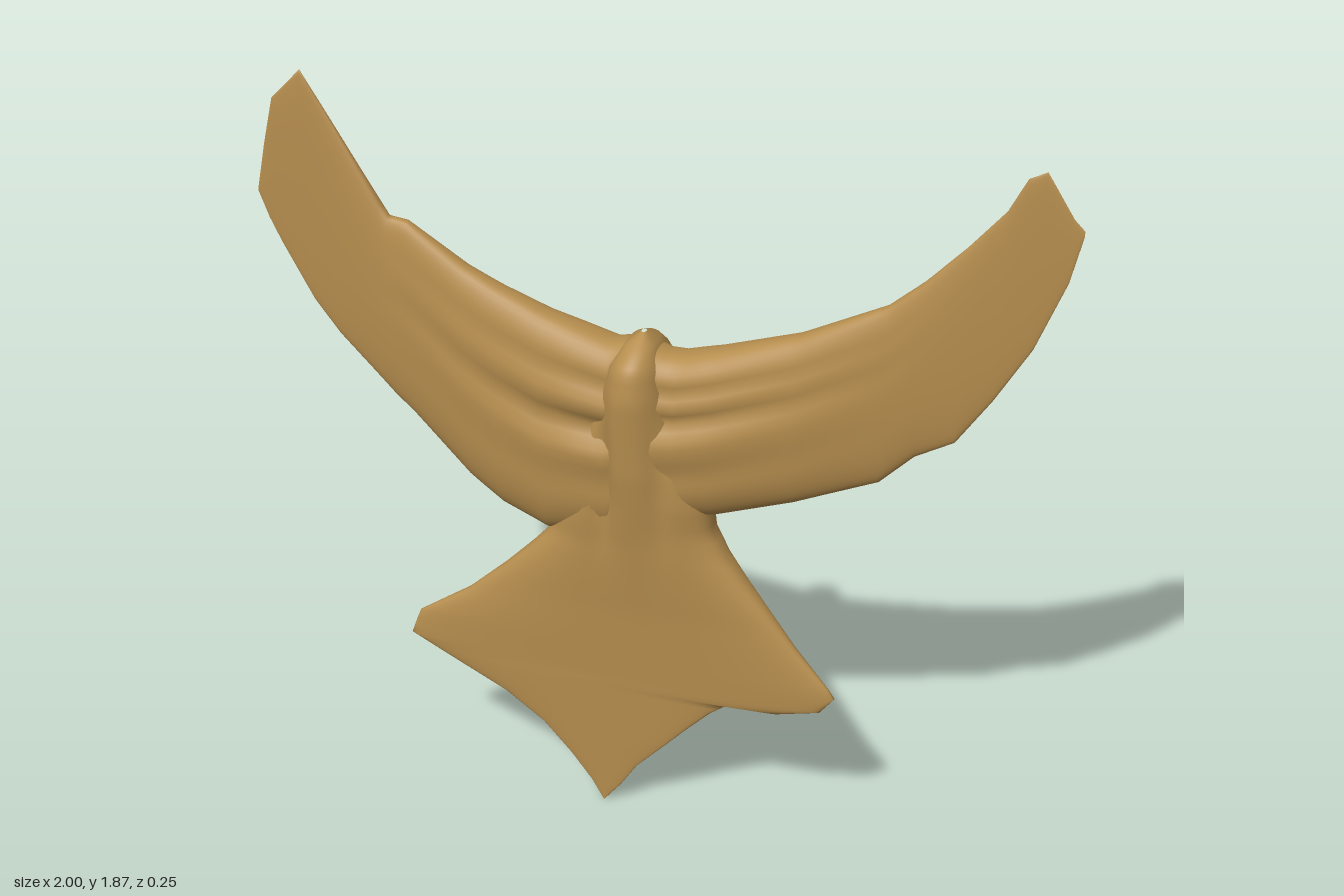
import * as THREE from 'three';

const cloth = new THREE.MeshStandardMaterial({ color: 0xb58d4e });
cloth.name = 'tan cloth';

// linear lookup of every column at station s; row = [station, ...values]
function sample(table, s) {
  let i = 0;
  while (i < table.length - 2 && s > table[i + 1][0]) i++;
  const a = table[i], b = table[i + 1];
  const k = THREE.MathUtils.clamp((s - a[0]) / (b[0] - a[0]), 0, 1);
  return a.slice(1).map((v, n) => v + (b[n + 1] - v) * k);
}

const bump = (v, centre, width) => Math.exp(-(((v - centre) / width) ** 2));

// lens-shaped sections lofted along x or y between two outline edges
function loft(name, axis, outline, depth, power, fold) {
  const stations = [];
  outline.forEach((row, i) => {
    if (i === 0) return stations.push(row[0]);
    const prev = outline[i - 1][0];
    const steps = Math.max(1, Math.ceil((row[0] - prev) / 0.025));
    for (let k = 1; k <= steps; k++) stations.push(prev + ((row[0] - prev) * k) / steps);
  });
  const ring = 64, pos = [], index = [];
  stations.forEach((s, i) => {
    const [lo, hi] = sample(outline, s);
    const [centre, thick] = sample(depth, s);
    for (let j = 0; j < ring; j++) {
      const t = (j / ring) * Math.PI * 2;
      const v = Math.cos(t), side = Math.sin(t);
      const across = (lo + hi) / 2 + ((hi - lo) / 2) * v;
      const [x, y] = axis === 'x' ? [s, across] : [across, s];
      const h = thick * Math.abs(side) ** power * fold(s, v, side > 0, x, y);
      pos.push(x, y, centre + Math.sign(side) * h);
      if (i === stations.length - 1) continue;
      const a = i * ring + j, b = i * ring + ((j + 1) % ring);
      const c = a + ring, d = b + ring;
      if (axis === 'x') index.push(a, b, c, b, d, c);
      else index.push(a, c, b, b, c, d);
    }
  });
  const geo = new THREE.BufferGeometry();
  geo.setAttribute('position', new THREE.Float32BufferAttribute(pos, 3));
  geo.setIndex(index);
  geo.computeVertexNormals();
  const mesh = new THREE.Mesh(geo, cloth);
  mesh.name = name;
  return mesh;
}

export function createModel() {
  const group = new THREE.Group();
  group.name = 'knottedCloth';

  // upswept side pieces: x, lower edge, upper edge
  const wingOutline = [
    [-1, 1.545, 1.555], [-0.975, 1.48, 1.67], [-0.945, 1.42, 1.79], [-0.865, 1.28, 1.87],
    [-0.8, 1.2, 1.77], [-0.65, 1.06, 1.535], [-0.6, 1.02, 1.53], [-0.45, 0.88, 1.44],
    [-0.36, 0.82, 1.4], [-0.24, 0.775, 1.355], [-0.07, 0.8, 1.31], [0, 0.84, 1.325],
    [0.06, 0.86, 1.3], [0.1, 0.87, 1.3], [0.19, 0.89, 1.325], [0.38, 0.955, 1.39],
    [0.58, 1.04, 1.49], [0.66, 1.12, 1.56], [0.75, 1.17, 1.655], [0.83, 1.29, 1.75],
    [0.87, 1.36, 1.83], [0.91, 1.43, 1.85], [0.975, 1.6, 1.75], [1, 1.715, 1.725],
  ];
  // x, middle z, half thickness
  const wingDepth = [
    [-1, -0.02, 0.002], [-0.8, -0.015, 0.015], [-0.6, -0.008, 0.04], [-0.4, 0, 0.068],
    [-0.15, 0, 0.103], [0, 0, 0.105], [0.15, -0.005, 0.1], [0.4, -0.008, 0.066],
    [0.6, -0.015, 0.037], [0.8, -0.02, 0.015], [1, -0.024, 0.002],
  ];
  // gathers that fade away from the knot
  const wingFold = (x, v, front) => {
    const fade = Math.max(0, 1 - Math.abs(x) / 0.7);
    const deep = front === x < 0 ? 0.42 : 0.3;
    const low = front === x < 0 ? 0.18 : 0.3;
    return 1 - fade * (deep * bump(v, low, 0.13) + 0.2 * bump(v, 0.62, 0.1)
      + 0.12 * bump(v, -0.35, 0.2));
  };
  group.add(loft('sideWings', 'x', wingOutline, wingDepth, 0.75, wingFold));

  // hanging tail and gathered middle: y, -x edge, +x edge
  const tailOutline = [
    [0.005, -0.092, -0.088], [0.06, -0.125, -0.045], [0.13, -0.18, 0],
    [0.21, -0.255, 0.075], [0.28, -0.36, 0.14], [0.335, -0.48, 0.195],
    [0.365, -0.545, 0.235], [0.372, -0.56, 0.37], [0.4, -0.62, 0.475],
    [0.445, -0.605, 0.51], [0.47, -0.595, 0.49], [0.56, -0.46, 0.405],
    [0.65, -0.36, 0.33], [0.72, -0.29, 0.27], [0.78, -0.235, 0.222],
    [0.84, -0.215, 0.187], [0.92, -0.18, 0.175], [1.05, -0.14, 0.12],
    [1.17, -0.1, 0.085], [1.27, -0.07, 0.06], [1.32, -0.035, 0.035], [1.342, -0.004, 0.008],
  ];
  // y, middle z, half thickness
  const tailDepth = [
    [0, 0.05, 0.003], [0.2, 0.049, 0.008], [0.4, 0.042, 0.018], [0.6, 0.024, 0.046],
    [0.8, 0.007, 0.082], [1, 0.004, 0.11], [1.2, 0, 0.124], [1.28, 0, 0.11],
    [1.32, 0, 0.06], [1.342, 0, 0.01],
  ];
  // vertical crease beside the middle band
  const tailFold = (y, v, front, x) => {
    const fade = bump(y, 0.98, 0.2);
    return 1 - fade * (0.3 * bump(x, -0.075, 0.025) + 0.12 * bump(x, 0.07, 0.03));
  };
  group.add(loft('tailAndMiddle', 'y', tailOutline, tailDepth, 0.75, tailFold));

  return group;
}
